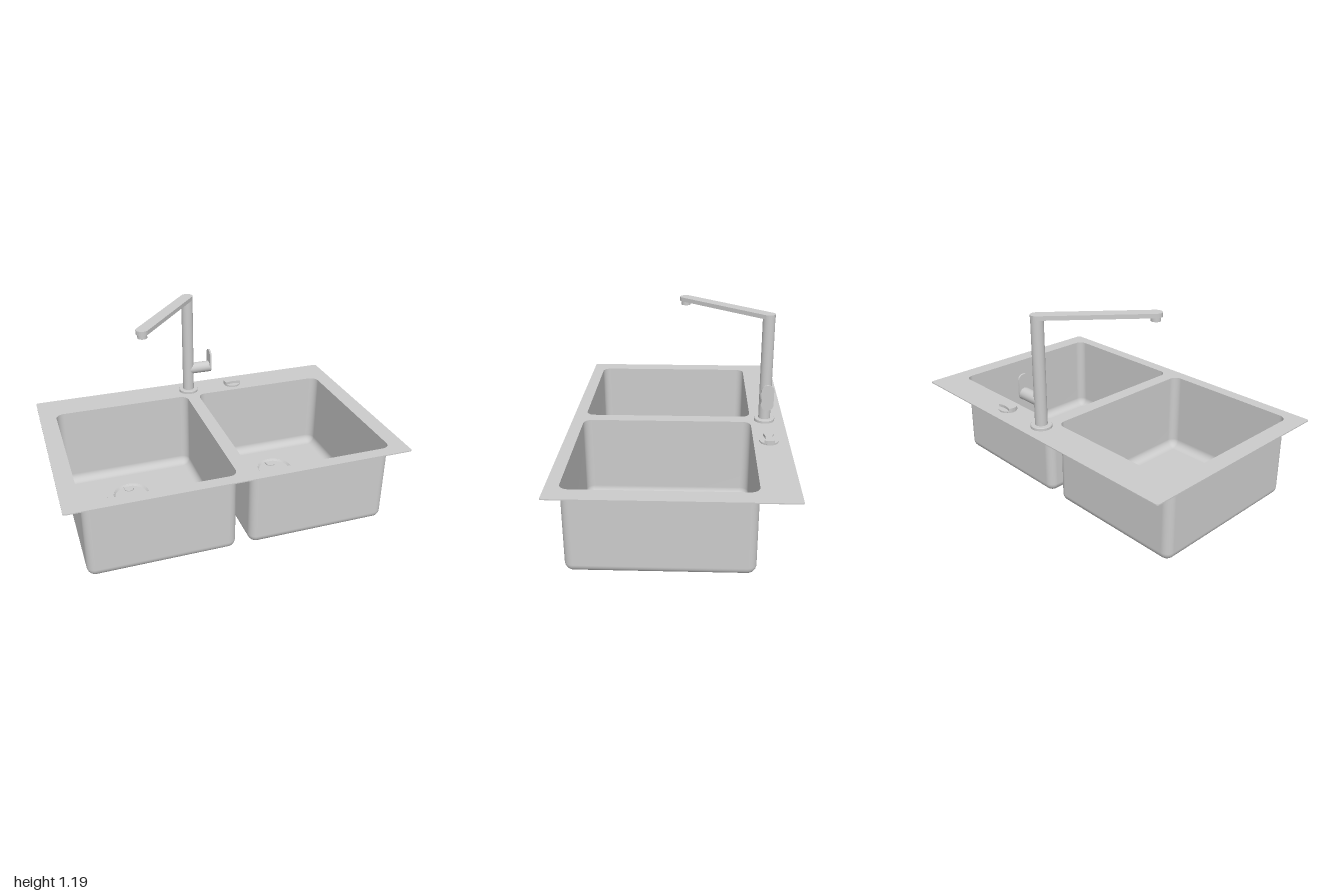
import * as THREE from 'three';
import { toCreasedNormals } from 'three/addons/utils/BufferGeometryUtils.js';

const steel = new THREE.MeshStandardMaterial({ color: 0xcccccc });
const sheet = new THREE.MeshStandardMaterial({ color: 0xcccccc, side: THREE.DoubleSide });

const DECK = 0.532, FLOOR = 0.03;
const BOWL = { w: 0.86, d: 1.01, x: 0.47, z: 0.065, r: 0.05 };
const DRAIN = { x: 0.5, z: -0.165 };
const TAP_Z = -0.525;

function add(parent, name, geometry, material = steel) {
  const mesh = new THREE.Mesh(geometry, material);
  mesh.name = name;
  parent.add(mesh);
  return mesh;
}

// Rounded rectangle as a counter-clockwise list of points
function roundedRect(cx, cy, w, h, r, steps = 8) {
  const points = [];
  [[1, 1], [-1, 1], [-1, -1], [1, -1]].forEach(([sx, sy], q) => {
    for (let i = 0; i <= steps; i++) {
      const a = (q + i / steps) * Math.PI / 2;
      points.push(new THREE.Vector2(
        cx + sx * (w / 2 - r) + r * Math.cos(a),
        cy + sy * (h / 2 - r) + r * Math.sin(a)));
    }
  });
  return points;
}

// Plan shape (x, z) extruded downward from the given top height
function slab(shape, top, depth) {
  const g = new THREE.ExtrudeGeometry(shape, { depth, bevelEnabled: false, curveSegments: 24 });
  return toCreasedNormals(g.rotateX(Math.PI / 2).translate(0, top, 0), 0.6);
}

function lathe(profile, segments = 64) {
  const points = profile.map(([r, y]) => new THREE.Vector2(r, y));
  return toCreasedNormals(new THREE.LatheGeometry(points, segments), 0.5);
}

// Bowl walls: rounded outlines stacked down and rolled into the floor
function bowlWalls(cx) {
  const { w, d, z, r } = BOWL, fillet = 0.05, rings = [[DECK - 0.001, 0]];
  for (let i = 0; i <= 8; i++) {
    const a = i / 8 * Math.PI / 2;
    rings.push([FLOOR + fillet * (1 - Math.sin(a)), fillet * (1 - Math.cos(a))]);
  }
  const positions = [], index = [];
  let n = 0;
  rings.forEach(([y, inset], k) => {
    const outline = roundedRect(cx, z, w - 2 * inset, d - 2 * inset, Math.max(r - inset, 0.002));
    n = outline.length;
    outline.forEach(p => positions.push(p.x, y, p.y));
    if (k === 0) return;
    for (let i = 0; i < n; i++) {
      const a = (k - 1) * n + i, b = (k - 1) * n + (i + 1) % n;
      index.push(a, b, a + n, b, b + n, a + n);
    }
  });
  const g = new THREE.BufferGeometry();
  g.setAttribute('position', new THREE.Float32BufferAttribute(positions, 3));
  g.setIndex(index);
  g.computeVertexNormals();
  return g;
}

function bowl(side) {
  const group = new THREE.Group();
  group.name = side > 0 ? 'leftBowl' : 'rightBowl';
  const cx = side * BOWL.x, dx = side * DRAIN.x;
  add(group, 'bowlWalls', bowlWalls(cx), sheet);

  const floor = new THREE.Shape(roundedRect(cx, BOWL.z, BOWL.w - 0.1, BOWL.d - 0.1, 0.002));
  floor.holes.push(new THREE.Path().absarc(dx, DRAIN.z, 0.112, 0, Math.PI * 2, true));
  add(group, 'bowlFloor', new THREE.ShapeGeometry(floor, 32)
    .rotateX(Math.PI / 2).translate(0, FLOOR, 0), sheet);

  // Drain flange, collar and recessed plug
  add(group, 'drain', lathe([
    [0, 0.01], [0.09, 0.01], [0.1, 0], [0.115, 0], [0.115, 0.015], [0.155, 0.017],
    [0.155, 0.032], [0.115, 0.032], [0.105, 0.018], [0, 0.018],
  ])).position.set(dx, 0, DRAIN.z);

  // Small finger tab on the plug
  const tab = new THREE.Shape();
  tab.moveTo(dx - 0.032, DRAIN.z - 0.098);
  tab.lineTo(dx + 0.032, DRAIN.z - 0.098);
  tab.absarc(dx, DRAIN.z - 0.075, 0.03, 0, Math.PI, false);
  add(group, 'plugTab', slab(tab, 0.023, 0.006));
  return group;
}

function tap() {
  const group = new THREE.Group();
  group.name = 'tap';
  const body = new THREE.Group();
  body.position.z = TAP_Z;
  group.add(body);

  add(body, 'tapBase', lathe([
    [0, DECK], [0.062, DECK], [0.062, 0.546], [0.059, 0.55], [0, 0.55],
  ], 48));
  add(body, 'tapColumn', new THREE.CylinderGeometry(0.036, 0.036, 0.64, 40)).position.y = 0.86;

  // Side handle: horizontal barrel and upright lever plate
  add(body, 'handleBarrel', new THREE.CylinderGeometry(0.036, 0.036, 0.14, 32)
    .rotateZ(Math.PI / 2)).position.set(0.075, 0.691, 0);
  const lever = new THREE.Shape();
  lever.absarc(0, 0.691, 0.036, Math.PI, Math.PI * 2, false);
  lever.lineTo(0.036, 0.78);
  lever.quadraticCurveTo(0.03, 0.81, 0, 0.81);
  lever.quadraticCurveTo(-0.03, 0.81, -0.036, 0.78);
  const plate = new THREE.ExtrudeGeometry(lever, { depth: 0.011, bevelEnabled: false, curveSegments: 16 });
  add(body, 'handleLever', toCreasedNormals(plate.rotateY(Math.PI / 2), 0.6)).position.x = 0.141;

  // Flat spout swung toward the right bowl
  const tip = new THREE.Vector2(-0.405, -0.037), r = 0.037;
  const a = Math.atan2(tip.y - TAP_Z, tip.x), q = Math.PI / 2;
  const spout = new THREE.Shape();
  spout.absarc(tip.x, tip.y, r, a - q, a + q, false);
  spout.absarc(0, TAP_Z, r, a + q, a + 3 * q, false);
  add(group, 'spout', slab(spout, 1.194, 0.025));
  add(group, 'aerator', new THREE.CylinderGeometry(0.028, 0.028, 0.028, 32))
    .position.set(tip.x, 1.158, tip.y);
  return group;
}

// Waste control knob: disc with a concave-sided grip across it
function knob() {
  const group = new THREE.Group();
  group.name = 'wasteKnob';
  group.position.set(0.312, 0, TAP_Z - 0.003);
  add(group, 'knobDisc', lathe([
    [0, DECK], [0.053, DECK], [0.053, 0.538], [0.057, 0.54], [0.057, 0.545], [0, 0.545],
  ], 48));
  const R = 0.057, s = 0.55, c = Math.cos(s) * R, h = Math.sin(s) * R;
  const grip = new THREE.Shape();
  grip.absarc(0, 0, R, -s, s, false);
  grip.quadraticCurveTo(0, h - 0.018, -c, h);
  grip.absarc(0, 0, R, Math.PI - s, Math.PI + s, false);
  grip.quadraticCurveTo(0, 0.018 - h, c, -h);
  add(group, 'knobGrip', slab(grip, 0.561, 0.02));
  return group;
}

export function createModel() {
  const model = new THREE.Group();
  model.name = 'doubleSink';

  // Thin deck with an opening for each bowl
  const deck = new THREE.Shape(roundedRect(0, 0, 2, 1.284, 0.012, 4));
  for (const side of [1, -1]) {
    const hole = roundedRect(side * BOWL.x, BOWL.z, BOWL.w, BOWL.d, BOWL.r).reverse();
    deck.holes.push(new THREE.Path(hole));
    model.add(bowl(side));
  }
  add(model, 'deck', slab(deck, DECK, 0.006));

  model.add(tap(), knob());
  return model;
}
